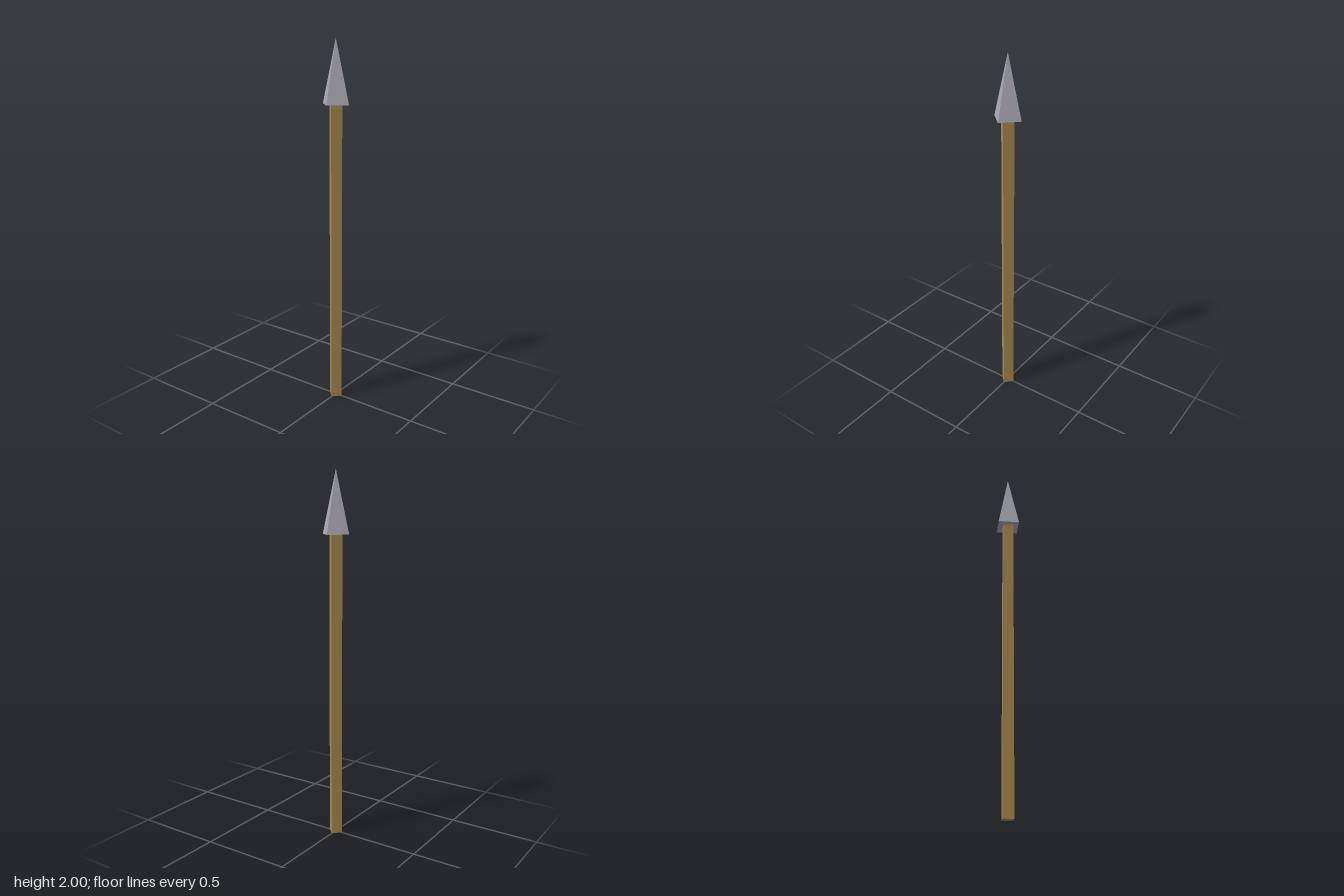
import * as THREE from 'three';

const SIDES = 4;
const SHAFT_RADIUS = 0.041;
const HEAD_RADIUS = 0.083;
const HEAD_BASE = 1.67;
const HEIGHT = 2;

function addPart(group, name, geometry, color, y) {
  const material = new THREE.MeshStandardMaterial({ color, flatShading: true });
  const mesh = new THREE.Mesh(geometry, material);
  mesh.name = name;
  mesh.position.y = y;
  group.add(mesh);
}

export function createModel() {
  const spear = new THREE.Group();
  spear.name = 'spear';

  // Square wooden shaft, edges facing the axes
  const shaft = new THREE.CylinderGeometry(SHAFT_RADIUS, SHAFT_RADIUS, HEAD_BASE, SIDES);
  addPart(spear, 'shaft', shaft, 0xa8884f, HEAD_BASE / 2);

  // Four-sided metal point with a closed base
  const headHeight = HEIGHT - HEAD_BASE;
  const head = new THREE.ConeGeometry(HEAD_RADIUS, headHeight, SIDES);
  addPart(spear, 'spearhead', head, 0xaaa8b4, HEAD_BASE + headHeight / 2);

  return spear;
}
